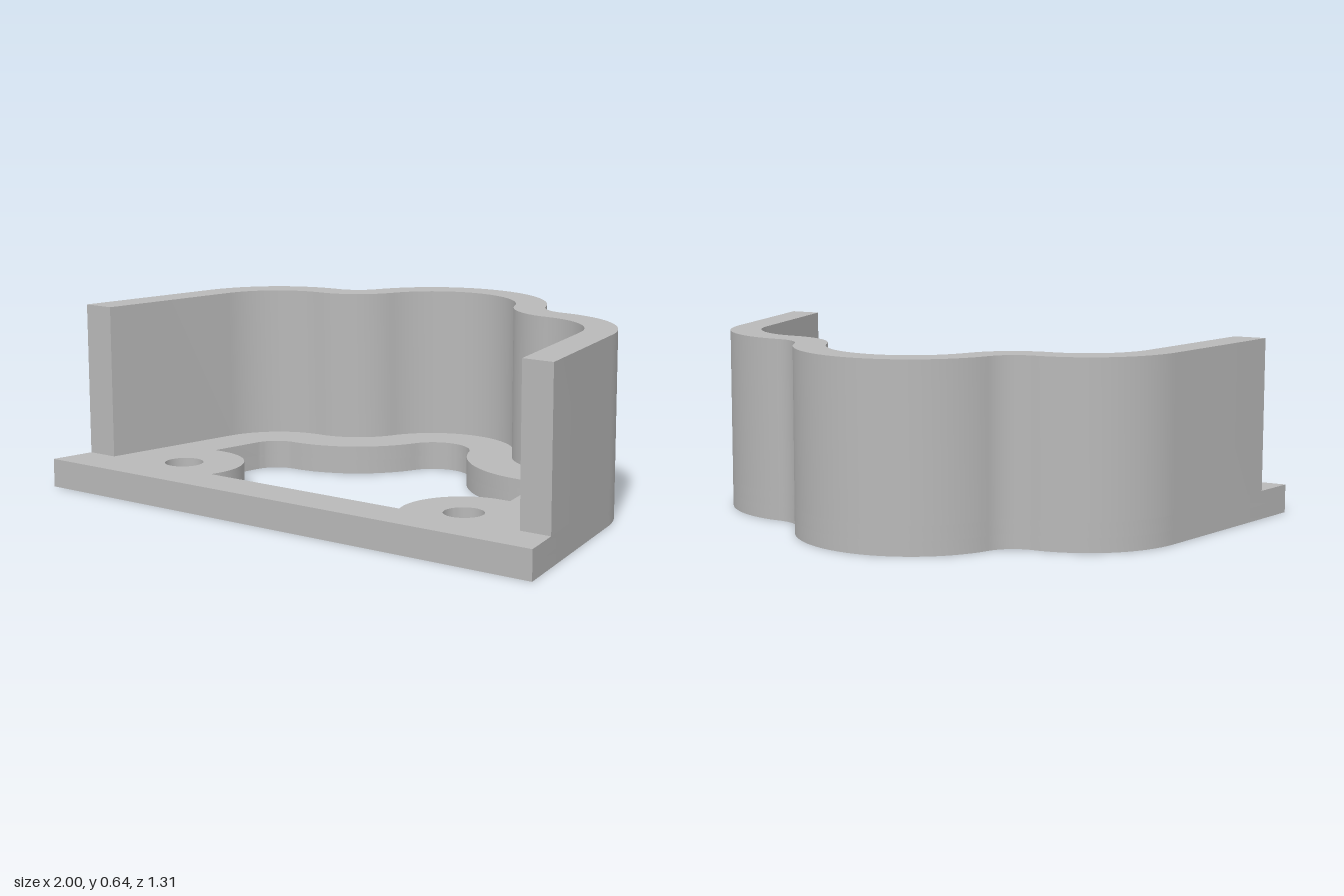
import * as THREE from 'three';
import { toCreasedNormals } from 'three/addons/utils/BufferGeometryUtils.js';

const SLOPE = 0.206;                // outward lean of the side walls in plan
const BOSS = { x: 0.593, y: -0.42, r: 0.21 };
const FRONT = -0.655, WALL_END = -0.5;
const PLATE = 0.1, BORE = 0.05, HEIGHT = 0.635;

// Points along an arc, in plan coordinates (y = -z)
function arc(cx, cy, r, a0, a1, n) {
  return Array.from({ length: n + 1 }, (_, i) => {
    const a = a0 + (a1 - a0) * i / n;
    return new THREE.Vector2(cx + r * Math.cos(a), cy + r * Math.sin(a));
  });
}

// Right half of the lobed outline, moved inward by inset, from the side end to the middle
function halfOutline(inset, endY) {
  const tilt = Math.atan(SLOPE);
  const dir = Math.atan2(0.207, 0.49);
  const shoulder = arc(0.49, -0.045, 0.375 - inset, tilt, Math.PI / 2, 20);
  const fillet = arc(0.49, 0.462, 0.132 + inset, -Math.PI / 2, dir - Math.PI, 16);
  const crown = arc(0, 0.255, 0.4 - inset, dir, Math.PI / 2, 20);
  const p = shoulder[0];
  const end = new THREE.Vector2(p.x + (p.y - endY) * SLOPE, endY);
  return [end, ...shoulder, ...fillet.slice(1), ...crown.slice(1)];
}

const mirror = pts => pts.map(p => new THREE.Vector2(-p.x, p.y)).reverse();
const full = half => [...half, ...mirror(half.slice(0, -1))];

// Extrude a plan shape upward from y0 to y1
function slab(shape, y0, y1, material, name) {
  const flat = new THREE.ExtrudeGeometry(shape, { depth: y1 - y0, bevelEnabled: false });
  flat.rotateX(-Math.PI / 2).translate(0, y0, 0);
  const mesh = new THREE.Mesh(toCreasedNormals(flat, Math.PI / 6), material);
  mesh.name = name;
  return mesh;
}

// Base plate layer with the large opening and two screw holes
function plateShape(holeRadius) {
  const shape = new THREE.Shape(full(halfOutline(0, FRONT)));
  const start = Math.PI + Math.asin((BOSS.y - WALL_END) / BOSS.r);
  const bossEdge = arc(BOSS.x, BOSS.y, BOSS.r, start, Math.PI / 2, 32);
  const opening = [...bossEdge, ...halfOutline(0.27, BOSS.y + BOSS.r)];
  shape.holes.push(new THREE.Path(full(opening)));
  for (const s of [-1, 1]) {
    const hole = arc(s * BOSS.x, BOSS.y, holeRadius, 0, Math.PI * 2, 40).slice(0, -1);
    shape.holes.push(new THREE.Path(hole));
  }
  return shape;
}

export function createModel() {
  const group = new THREE.Group();
  group.name = 'lobedBracket';
  const grey = new THREE.MeshStandardMaterial({ color: 0xb8b8b8 });
  grey.name = 'plain grey';

  // Plate: counterbored underside, narrower screw holes above
  group.add(slab(plateShape(0.12), 0, BORE, grey, 'plateUnderside'));
  group.add(slab(plateShape(0.067), BORE, PLATE, grey, 'plateTop'));

  // Upright wall following the outline, open at the front
  const wall = new THREE.Shape([
    ...full(halfOutline(0, WALL_END)),
    ...full(halfOutline(0.11, WALL_END)).reverse(),
  ]);
  group.add(slab(wall, PLATE, HEIGHT, grey, 'wall'));
  return group;
}
